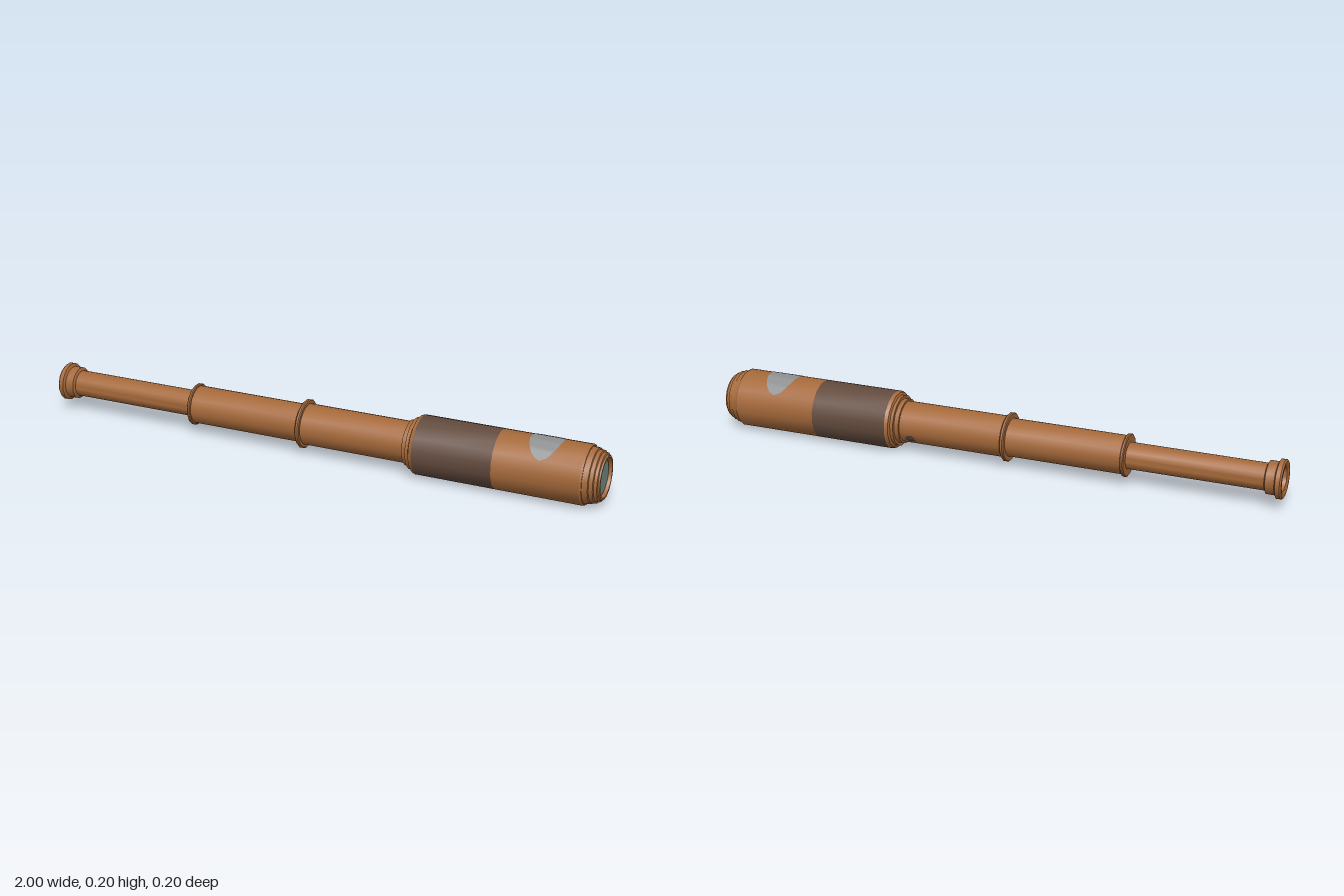
import * as THREE from 'three';
import { toCreasedNormals } from 'three/addons/utils/BufferGeometryUtils.js';

const SIDES = 16;
const STEP = (Math.PI * 2) / SIDES;
const AXIS_Y = 0.1;

function material(name, color, side = THREE.FrontSide) {
  const m = new THREE.MeshStandardMaterial({ color, side });
  m.name = name;
  return m;
}

export function createModel() {
  const model = new THREE.Group();
  model.name = 'spyglass';
  const brass = material('warm brown', 0xa5693a);
  const leather = material('dark leather', 0x624a3d);
  const silver = material('grey plate', 0x8f9092, THREE.DoubleSide);
  const glass = material('lens glass', 0x708986, THREE.DoubleSide);
  const strap = material('dark mark', 0x594338, THREE.DoubleSide);

  function add(name, geometry, mat) {
    const mesh = new THREE.Mesh(geometry, mat);
    mesh.name = name;
    mesh.position.y = AXIS_Y;
    model.add(mesh);
  }

  // Sixteen-sided turned part along x; profile is [x, flat-to-axis radius]
  function turned(name, profile, mat = brass) {
    const points = profile.map(([x, r]) => new THREE.Vector2(r / Math.cos(STEP / 2), x));
    const g = new THREE.LatheGeometry(points, SIDES, STEP / 2);
    g.rotateZ(-Math.PI / 2);
    add(name, toCreasedNormals(g, 0.5), mat);
  }

  // Oval plate wrapped on the facets of a tube; angle is measured from the top towards +z
  function wrappedOval(name, x, halfLength, radius, angle, spread, mat) {
    const rows = 20, pos = [], index = [];
    for (let i = 0; i <= rows; i++) {
      const t = (i / rows) * 2 - 1;
      const a = angle + t * spread;
      const r = radius / Math.cos(a - Math.round(a / STEP) * STEP);
      const across = Math.sin(t * spread) / Math.sin(spread);
      const w = halfLength * Math.sqrt(Math.max(0, 1 - across * across));
      for (const s of [-1, 1]) pos.push(x + s * w, r * Math.cos(a), r * Math.sin(a));
      if (i < rows) {
        const k = i * 2;
        index.push(k, k + 2, k + 3, k, k + 3, k + 1);
      }
    }
    const g = new THREE.BufferGeometry();
    g.setAttribute('position', new THREE.Float32BufferAttribute(pos, 3));
    g.setIndex(index);
    g.computeVertexNormals();
    add(name, g, mat);
  }

  function lens(name, x, radius, direction) {
    const g = new THREE.CircleGeometry(radius / Math.cos(STEP / 2), SIDES, STEP / 2);
    g.rotateY((direction * Math.PI) / 2);
    g.translate(x, 0, 0);
    add(name, g, glass);
  }

  // Eyepiece with a hollow flared lip
  turned('eyepiece', [
    [-0.975, 0.036], [-0.995, 0.04], [-1, 0.05], [-1, 0.06], [-0.995, 0.065],
    [-0.98, 0.065], [-0.975, 0.055], [-0.945, 0.055], [-0.94, 0.045],
  ]);
  lens('eyeLens', -0.98, 0.04, -1);

  // Telescoping draw tubes
  turned('smallTube', [[-0.96, 0.045], [-0.465, 0.045]]);
  turned('middleTube', [[-0.47, 0.04], [-0.47, 0.065], [-0.05, 0.065]]);
  turned('largeTube', [[-0.05, 0.06], [-0.05, 0.07], [0.34, 0.07]]);

  // Collars at the tube joints
  for (const [name, x, r, w] of [['smallCollar', -0.47, 0.072, 0.006], ['largeCollar', -0.052, 0.083, 0.007]]) {
    turned(name, [
      [x - w, 0.044], [x - w, r - 0.003], [x - w / 2, r], [x + w / 2, r], [x + w, r - 0.003], [x + w, 0.06],
    ]);
  }

  // Stepped shoulder into the main barrel
  turned('barrelShoulder', [
    [0.327, 0.068], [0.327, 0.077], [0.343, 0.077], [0.343, 0.087],
    [0.354, 0.087], [0.358, 0.096], [0.37, 0.1],
  ]);
  turned('leatherGrip', [[0.365, 0.097], [0.37, 0.1], [0.645, 0.1]], leather);
  turned('barrel', [[0.645, 0.1], [0.94, 0.1]]);

  // Stepped nose with a shallow bore for the front lens
  turned('nose', [
    [0.94, 0.1], [0.946, 0.097], [0.946, 0.093], [0.965, 0.091], [0.967, 0.087],
    [0.98, 0.086], [0.982, 0.081], [0.992, 0.08], [0.994, 0.074], [1, 0.072],
    [1, 0.065], [0.988, 0.062], [0.988, 0.055],
  ]);
  lens('frontLens', 0.99, 0.057, 1);

  // Grey oval plate on top of the barrel and a small mark low on the back
  wrappedOval('nameplate', 0.8, 0.054, 0.101, 0, STEP * 2.5, silver);
  wrappedOval('tubeMark', 0.29, 0.018, 0.071, -STEP * 5.5, 0.25, strap);

  return model;
}
